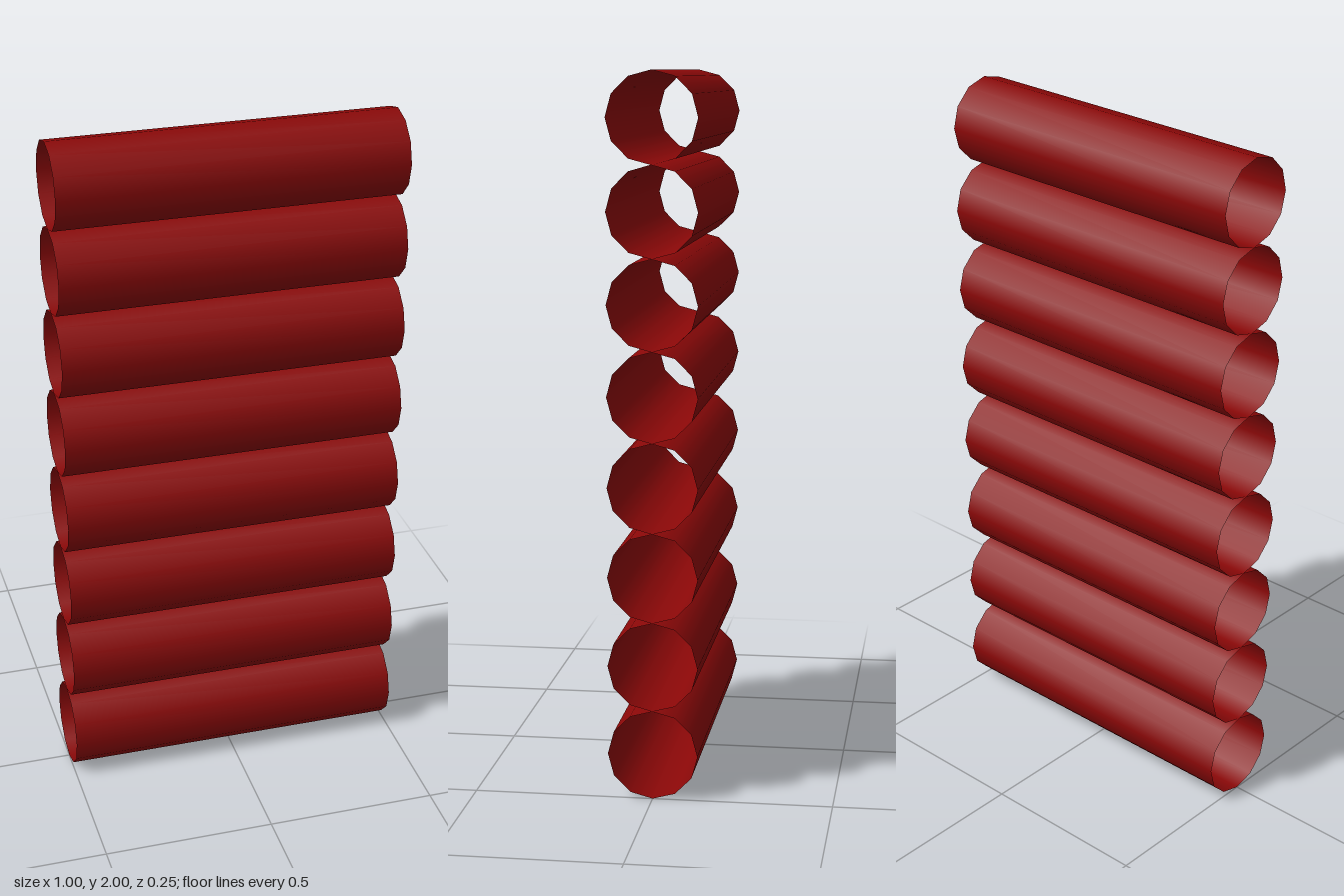
import * as THREE from 'three';

const COUNT = 8;
const RADIUS = 0.125;
const LENGTH = 1;

export function createModel() {
  const group = new THREE.Group();
  group.name = 'tubeStack';

  const darkRed = new THREE.MeshStandardMaterial({ color: 0x8b0808, side: THREE.DoubleSide });
  darkRed.name = 'dark red';

  // Open-ended pipe lying along x
  const pipe = new THREE.CylinderGeometry(RADIUS, RADIUS, LENGTH, 12, 1, true);
  pipe.rotateZ(Math.PI / 2);

  // Pipes stacked upwards, each touching the next
  for (let i = 0; i < COUNT; i++) {
    const tube = new THREE.Mesh(pipe, darkRed);
    tube.name = `tube${i + 1}`;
    tube.position.y = RADIUS * (2 * i + 1);
    group.add(tube);
  }
  return group;
}
